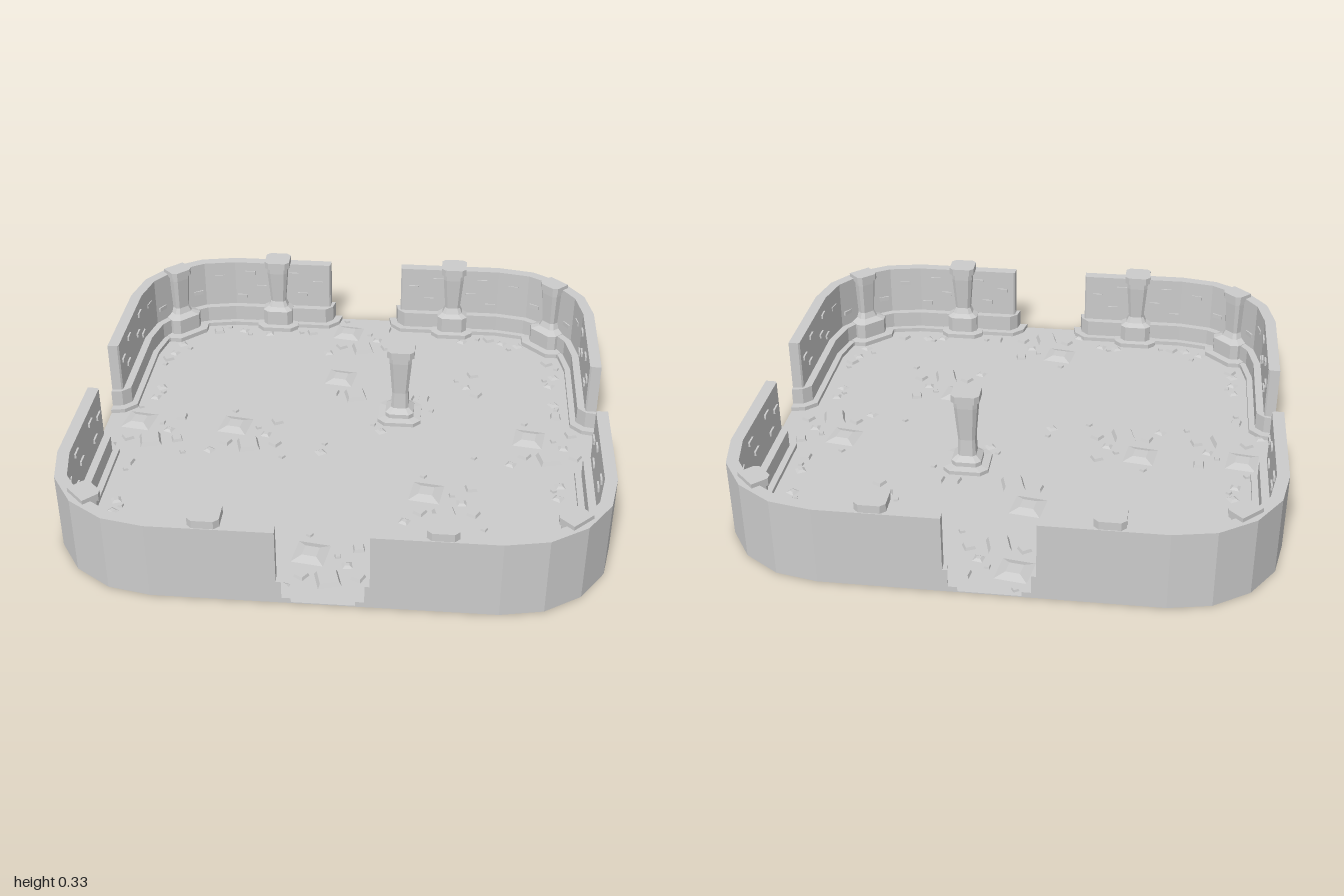
import * as THREE from 'three';

const mat = new THREE.MeshStandardMaterial({ color: 0xcccccc, flatShading: true });

function add(parent, geo, name, x = 0, y = 0, z = 0, ry = 0) {
  const m = new THREE.Mesh(geo, mat);
  m.name = name;
  m.position.set(x, y, z);
  m.rotation.y = ry;
  parent.add(m);
  return m;
}

// Flat slab from an outline in x and z
function slab(points, y0, y1) {
  const shape = new THREE.Shape(points.map(([x, z]) => new THREE.Vector2(x, -z)));
  const g = new THREE.ExtrudeGeometry(shape, { depth: y1 - y0, bevelEnabled: false });
  return g.rotateX(-Math.PI / 2).translate(0, y0, 0);
}

// Four-segment corner arc around (0.6, 0.6), from +x to +z
function arc(r) {
  return [0, 1, 2, 3, 4].map(i => {
    const a = i * Math.PI / 8;
    return [0.6 + r * Math.cos(a), 0.6 + r * Math.sin(a)];
  });
}

// L-shaped wall outline: thickness t, ends at distance e from the axis, rounded ends by c
function wallOutline(t, e, c) {
  return [
    [1, e], ...arc(0.4), [e, 1],
    [e + c * 0.2, 1 - t + c * 0.8], [e + c, 1 - t],
    ...arc(0.4 - t).reverse(),
    [1 - t, e + c], [1 - t + c * 0.8, e + c * 0.2],
  ];
}

// Chamfered square column through levels of [half width, y]; the back (+z) is cut at 'back'
function column(levels, back = 1) {
  const ring = ([w, y]) => {
    const k = w * 0.68;
    return [[w, -k], [w, k], [k, w], [-k, w], [-w, k], [-w, -k], [-k, -w], [k, -w]]
      .map(([x, z]) => [x, y, Math.min(z, back)]);
  };
  const rings = levels.map(ring);
  const pos = [];
  for (let i = 0; i + 1 < rings.length; i++) {
    for (let j = 0; j < 8; j++) {
      const k = (j + 1) % 8, a = rings[i][j], b = rings[i][k], c = rings[i + 1][k], d = rings[i + 1][j];
      pos.push(...a, ...d, ...c, ...a, ...c, ...b);
    }
  }
  const top = rings[rings.length - 1];
  for (let j = 1; j < 7; j++) pos.push(...top[0], ...top[j + 1], ...top[j]);
  const g = new THREE.BufferGeometry();
  g.setAttribute('position', new THREE.Float32BufferAttribute(pos, 3));
  g.computeVertexNormals();
  return g;
}

export function createModel() {
  const model = new THREE.Group();
  model.name = 'ruinedCourtyard';

  // Floor with rounded corners
  const corner = arc(0.4), mirrored = (sx, sz) => corner.map(([x, z]) => [x * sx, z * sz]);
  const outline = [...mirrored(1, 1), ...mirrored(-1, 1).reverse(), ...mirrored(-1, -1), ...mirrored(1, -1).reverse()];
  add(model, slab(outline, 0, 0.004), 'floor');

  // Walls with skirting and footing, one per corner
  const tiers = [
    ['wall', 0.045, 0.16, 0.008, 0.3],
    ['skirting', 0.075, 0.142, 0.04, 0.09],
    ['footing', 0.1, 0.11, 0.055, 0.021],
  ];
  // Proud bricks on the inner wall faces: [distance from the axis, y]
  const bricks = [[0.22, 0.21], [0.29, 0.15], [0.33, 0.25], [0.48, 0.18], [0.53, 0.25], [0.57, 0.13]];
  const quadrants = [[1, 1], [-1, 1], [-1, -1], [1, -1]];
  for (const [sx, sz] of quadrants) {
    const g = new THREE.Group();
    g.name = 'wallQuarter';
    for (const [name, t, e, c, h] of tiers) {
      add(g, slab(wallOutline(t, e, c).map(([x, z]) => [x * sx, z * sz]), 0, h), name);
    }
    const brick = new THREE.BoxGeometry(0.045, 0.018, 0.012);
    for (const [u, y] of bricks) {
      add(g, brick, 'brick', u * sx, y, 0.954 * sz);
      add(g, brick, 'brick', 0.954 * sx, y, u * sz, Math.PI / 2);
    }
    for (const [a, y] of [[0.2, 0.22], [0.5, 0.15], [1.07, 0.16], [1.37, 0.23]]) {
      const r = 0.35;
      add(g, brick, 'brick', sx * (0.6 + r * Math.cos(a)), y, sz * (0.6 + r * Math.sin(a)),
        Math.atan2(sx * Math.cos(a), sz * Math.sin(a)));
    }
    model.add(g);
  }

  // Pillars: standing free, against the front and back walls, and in the corners
  const shaft = [[0.044, 0.105], [0.033, 0.13], [0.045, 0.275], [0.045, 0.3], [0.055, 0.302], [0.055, 0.332]];
  const free = column([[0.088, 0], [0.088, 0.02], [0.058, 0.024], [0.058, 0.042], [0.036, 0.06], ...shaft.slice(1)]);
  const engaged = column([[0.092, 0], [0.092, 0.023], [0.066, 0.025], [0.066, 0.092], ...shaft], 0.054);
  const inCorner = column([[0.105, 0], [0.105, 0.023], [0.075, 0.025], [0.075, 0.092], [0.044, 0.105],
    [0.034, 0.13], [0.042, 0.27], [0.042, 0.285], [0.05, 0.288], [0.05, 0.316]], 0.03);
  add(model, free, 'freePillar', 0.2, 0, -0.2);
  for (const [sx, sz] of quadrants) {
    add(model, engaged, 'wallPillar', 0.4 * sx, 0, 0.945 * sz, sz > 0 ? 0 : Math.PI);
    add(model, inCorner, 'cornerPillar', 0.845 * sx, 0, 0.845 * sz, Math.atan2(sx, sz));
  }

  // Rubble: sharp stones and low sunken slabs
  const stoneGeo = new THREE.CylinderGeometry(0.56, 0.707, 1, 4).rotateY(Math.PI / 4);
  const slabGeo = new THREE.CylinderGeometry(0.3, 0.707, 1, 4).rotateY(Math.PI / 4);
  const rubble = new THREE.Group();
  rubble.name = 'rubble';
  model.add(rubble);
  const rock = (x, z, s, low) => {
    const h = low ? 0.006 + s * 0.06 : 0.006 + s * 0.15;
    const m = add(rubble, low ? slabGeo : stoneGeo, low ? 'sunkenSlab' : 'stone',
      x, 0.003 + h / 2, z, s > 0.07 ? (low ? -0.15 : 0.27) : Math.sin(x * 37 + z * 53) * 0.6);
    m.scale.set(s, h, s);
  };

  // Repeated cluster: [x, z, size, low] around the main stone
  const cluster = [
    [0, 0, 0.085, 0], [-0.075, -0.14, 0.125, 1], [-0.095, -0.015, 0.042, 0],
    [0.105, -0.02, 0.042, 0], [0.095, -0.18, 0.042, 0], [0.023, -0.13, 0.022, 0],
    [-0.09, -0.245, 0.022, 0], [0.06, -0.085, 0.04, 1], [-0.15, 0.045, 0.04, 1], [0.145, 0.07, 0.022, 0],
  ];
  const anchors = [[0.005, -0.725], [-0.795, 0.075], [-0.395, 0.075], [0.805, 0.075], [0.405, 0.475], [0.005, 0.875]];
  for (const [ax, az] of anchors) {
    for (const [x, z, s, low] of cluster) if (Math.abs(ax + x) < 0.97 && az + z < 0.93) rock(ax + x, az + z, s, low);
  }
  for (const [x, z, s, low] of cluster.slice(0, 3)) rock(0.005 + x, -0.33 + z, s, low);

  // Loose stones: [x, z, size]
  const stones = [
    [-0.665, -0.83, 0.042], [-0.62, -0.87, 0.02], [-0.52, -0.815, 0.02], [-0.285, -0.85, 0.02],
    [-0.235, -0.855, 0.042], [-0.77, -0.665, 0.02], [-0.85, -0.57, 0.042], [-0.855, -0.52, 0.02],
    [-0.815, -0.29, 0.02], [0.52, -0.855, 0.02], [0.57, -0.855, 0.042], [0.66, -0.775, 0.02],
    [0.825, -0.665, 0.042], [0.865, -0.62, 0.02], [0.81, -0.52, 0.02], [0.845, -0.235, 0.042],
    [0.85, -0.29, 0.02], [0.5, -0.54, 0.042], [0.43, -0.485, 0.02], [0.515, -0.38, 0.042],
    [0.23, -0.33, 0.042], [0.295, -0.33, 0.042], [0.33, -0.24, 0.02], [0.095, -0.115, 0.02],
    [0.51, 0.09, 0.02], [-0.09, 0.04, 0.02], [-0.85, 0.23, 0.042], [-0.85, 0.28, 0.02],
    [-0.815, 0.515, 0.02], [-0.83, 0.66, 0.042], [-0.66, 0.765, 0.02], [-0.57, 0.845, 0.042],
    [-0.52, 0.845, 0.02], [-0.285, 0.81, 0.02], [0.23, 0.85, 0.042], [0.28, 0.845, 0.02],
    [0.52, 0.81, 0.02], [0.66, 0.825, 0.042], [0.77, 0.66, 0.02], [0.845, 0.565, 0.042],
    [0.85, 0.515, 0.02], [0.815, 0.285, 0.02],
  ];
  for (const [x, z, s] of stones) rock(x, z, s, 0);
  const lowStones = [
    [-0.55, -0.85], [-0.43, -0.83], [-0.81, -0.7], [-0.83, -0.62], [-0.84, -0.25], [-0.83, -0.33],
    [0.45, -0.83], [0.63, -0.83], [0.7, -0.81], [0.85, -0.55], [0.83, -0.48], [0.84, -0.33],
    [0.47, -0.44], [0.13, -0.07], [-0.1, 0.1], [-0.84, 0.48], [-0.84, 0.55], [-0.84, 0.62],
    [-0.7, 0.81], [-0.63, 0.84], [-0.32, 0.83], [-0.25, 0.84], [0.48, 0.84], [0.55, 0.83],
    [0.81, 0.7], [0.83, 0.62], [0.83, 0.33], [0.84, 0.25],
  ];
  for (const [x, z] of lowStones) rock(x, z, 0.04, 1);

  return model;
}
